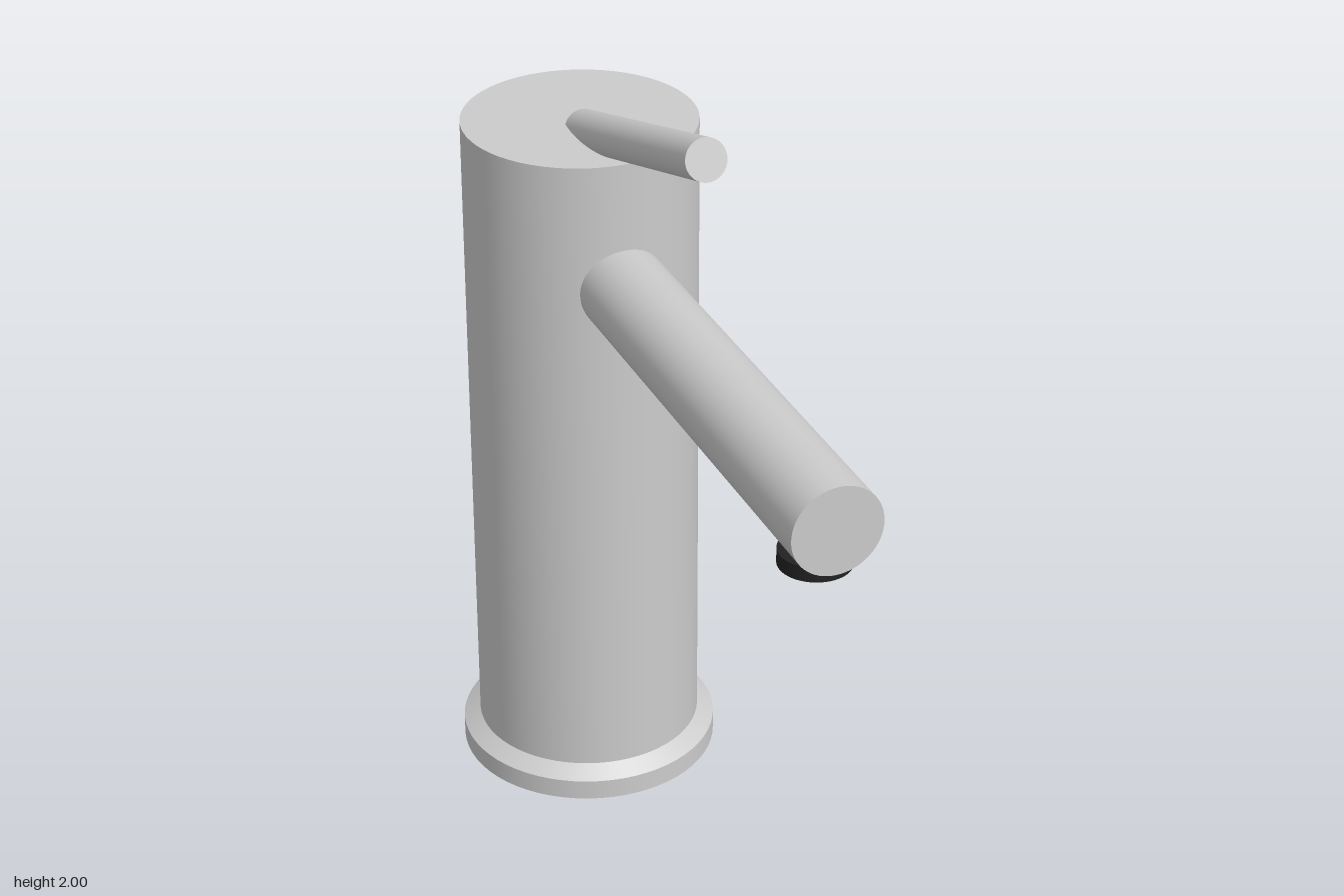
import * as THREE from 'three';

const grey = new THREE.MeshStandardMaterial({ color: 0xcccccc });
const dark = new THREE.MeshStandardMaterial({ color: 0x222222 });
const BODY_Z = -0.56;

function cylinder(name, rTop, rBottom, height, material = grey, open = false) {
  const mesh = new THREE.Mesh(new THREE.CylinderGeometry(rTop, rBottom, height, 64, 1, open), material);
  mesh.name = name;
  return mesh;
}

// Cylinder running between two points
function rod(name, radius, from, to) {
  const axis = to.clone().sub(from);
  const mesh = cylinder(name, radius, radius, axis.length());
  mesh.position.copy(from).add(to).multiplyScalar(0.5);
  mesh.quaternion.setFromUnitVectors(new THREE.Vector3(0, 1, 0), axis.normalize());
  return mesh;
}

export function createModel() {
  const faucet = new THREE.Group();
  faucet.name = 'faucet';

  // Base flange with a bevelled upper edge
  const base = cylinder('baseFlange', 0.325, 0.325, 0.053);
  base.position.set(0, 0.0265, BODY_Z);
  const bevel = cylinder('baseBevel', 0.283, 0.325, 0.027, grey, true);
  bevel.position.set(0, 0.0665, BODY_Z);

  // Upright body
  const body = cylinder('body', 0.283, 0.283, 1.69);
  body.position.set(0, 0.895, BODY_Z);

  // Horizontal spout, its root buried in the body
  const spout = rod('spout', 0.106,
    new THREE.Vector3(0, 1.415, -0.31), new THREE.Vector3(0, 1.415, 0.89));

  // Aerator under the spout tip
  const aerator = cylinder('aerator', 0.082, 0.082, 0.035, dark);
  aerator.position.set(0, 1.2985, 0.785);

  // Tilted lever rising forward out of the body's top
  const tilt = THREE.MathUtils.degToRad(17.8);
  const tip = new THREE.Vector3(0, 1.954, 0.195);
  const root = tip.clone().add(new THREE.Vector3(0, -Math.sin(tilt), -Math.cos(tilt)).multiplyScalar(0.763));
  const lever = rod('lever', 0.049, root, tip);

  faucet.add(base, bevel, body, spout, aerator, lever);
  return faucet;
}
